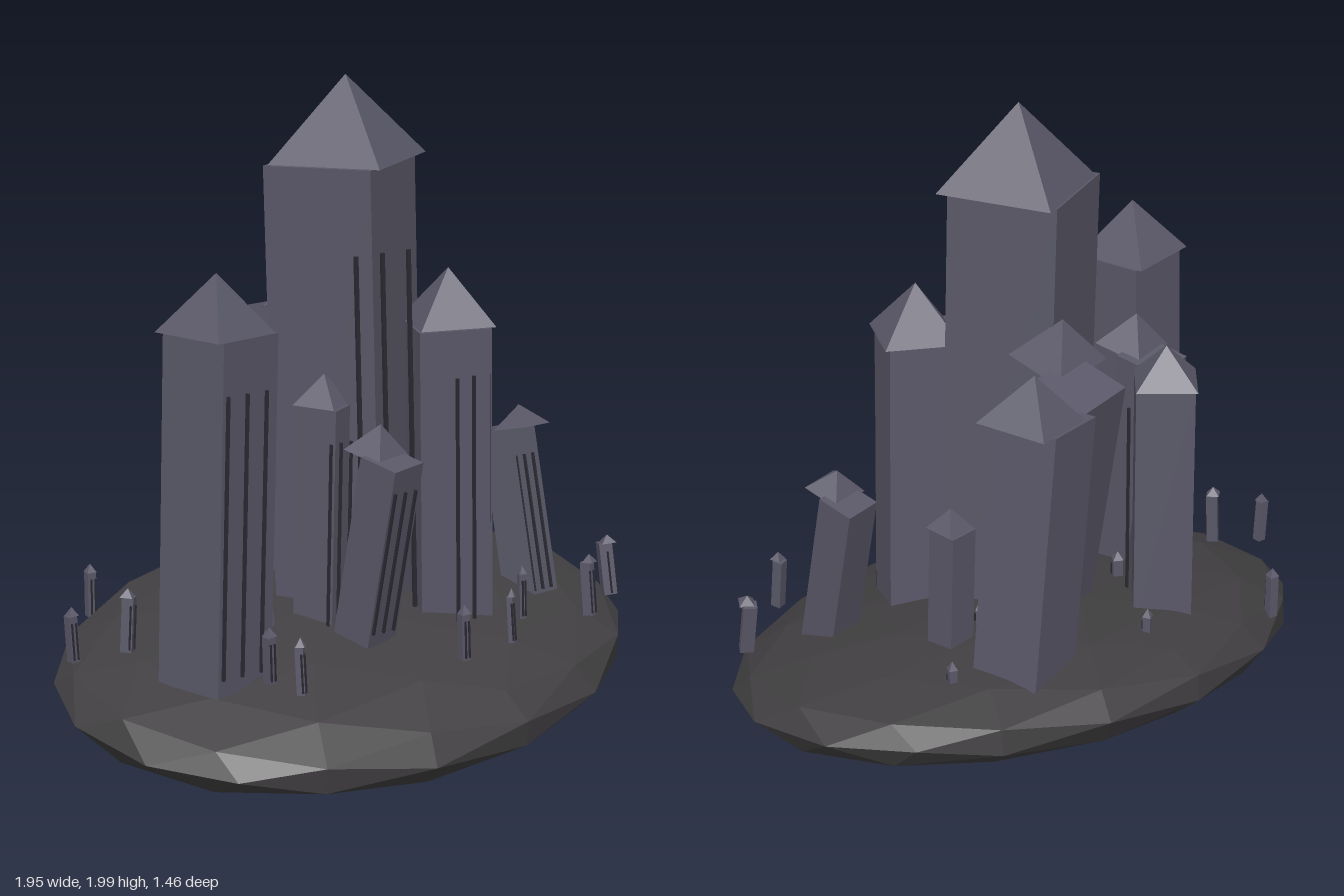
import * as THREE from 'three';

const mat = (name, color) => {
  const m = new THREE.MeshStandardMaterial({ color, flatShading: true });
  m.name = name;
  return m;
};

export function createModel() {
  const stone = mat('slate stone', 0x5a5868);
  const rockMat = mat('dark rock', 0x413f41);
  const dark = mat('window shadow', 0x2b2a33);
  const root = new THREE.Group();
  root.name = 'rockCitadel';

  const add = (parent, name, geo, material, pos, rot) => {
    const m = new THREE.Mesh(geo, material);
    m.name = name;
    m.position.set(...pos);
    m.rotation.set(...rot, 'XZY'); // spin first, then lean
    parent.add(m);
    return m;
  };

  // four sided spire whose corners line up with a box
  const spire = (r, h) => new THREE.ConeGeometry(r, h, 4).rotateY(Math.PI / 4);

  // floating rock, a flattened tilted ball
  const rock = new THREE.Mesh(new THREE.IcosahedronGeometry(1, 2).scale(0.985, 0.197, 0.75), rockMat);
  rock.name = 'floatingRock';
  rock.position.set(0, 0.245, 0);
  rock.rotation.set(0.146, 0.134, 0.06);
  root.add(rock);

  // [name, x, z, base, eaves, apex, width, lean x, spin in degrees, lean z]
  const towers = [
    ['mainTower', 0, 0, 0.03, 1.75, 2.0, 0.34, 0, 28, 0.03],
    ['westTower', -0.605, 0.17, 0.3, 1.33, 1.5, 0.23, 0.01, 12, -0.025],
    ['frontEastTower', 0.22, 0.21, 0.32, 1.265, 1.43, 0.22, 0.02, -25, 0.035],
    ['backEastTower', 0.3, -0.43, 0.35, 1.24, 1.38, 0.215, 0, 18, 0.09],
    ['leaningBackTower', 0.03, -0.23, 0.28, 1.28, 1.42, 0.195, -0.27, 10, -0.09],
    ['backWestTower', -0.27, -0.36, 0.36, 1.17, 1.285, 0.175, 0.01, 50, 0],
    ['innerWestTower', -0.43, -0.04, 0.3, 1.13, 1.24, 0.155, -0.2, 16, 0],
    ['frontTurret', -0.145, 0.33, 0.37, 0.94, 1.03, 0.13, 0.22, 12, 0],
    ['innerTurret', -0.165, 0.1, 0.35, 1.05, 1.14, 0.13, 0.03, 25, 0],
    ['eastTurret', 0.57, 0.15, 0.35, 0.88, 0.95, 0.12, -0.24, 12, -0.01],
    ['backEastTurret', 0.41, -0.19, 0.38, 0.84, 0.905, 0.095, -0.04, 8, 0],
  ];
  for (const [name, x, z, base, eaves, apex, w, rx, deg, rz] of towers) {
    const g = new THREE.Group();
    g.name = name;
    const rot = [rx, THREE.MathUtils.degToRad(deg), rz];
    const h = eaves - base;
    add(g, 'towerBody', new THREE.BoxGeometry(w, h, w), stone, [x, base + h / 2, z], rot);
    add(g, 'towerRoof', spire(w * 0.74, apex - eaves), stone, [x, (eaves + apex) / 2, z], rot);
    // narrow window slits along the front
    for (const i of [-1, 0, 1]) {
      const t = Math.max(0.006, w * 0.035);
      add(g, 'windowSlit', new THREE.BoxGeometry(t, h * 0.8, 0.009), dark,
        [x + i * w * 0.29 - w * 0.05, base + h * 0.455, z + w * 0.63], [rx, 0, rz]);
    }
    root.add(g);
  }

  // little marker pillars scattered round the rim: [x, z, base, lean x, lean z, width]
  const pillars = [
    [-0.9, -0.15, 0.34, 0, 0.06, 0.028], [-0.75, -0.08, 0.36, 0, -0.06, 0.035],
    [-0.59, -0.52, 0.33, 0, 0, 0.028], [-0.09, -0.5, 0.36, 0, 0, 0.024],
    [0.55, -0.37, 0.36, 0, 0, 0.024], [0.22, -0.21, 0.38, 0, 0, 0.03],
    [-0.27, -0.16, 0.35, 0, 0, 0.03], [-0.13, -0.16, 0.35, 0, 0, 0.024],
    [0.28, -0.16, 0.37, 0, 0, 0.022], [-0.59, 0.39, 0.35, 0.03, 0.05, 0.028],
    [-0.58, 0.52, 0.35, -0.08, 0, 0.024], [-0.02, 0.57, 0.35, 0, 0.04, 0.027],
    [0.2, 0.53, 0.35, -0.1, 0, 0.018], [0.34, 0.42, 0.37, 0, 0.04, 0.02],
    [0.57, 0.47, 0.35, -0.12, 0, 0.032], [0.79, 0.32, 0.34, -0.16, 0.02, 0.042],
  ];
  pillars.forEach(([x, z, y, rx, rz, w], i) => {
    const g = new THREE.Group();
    g.name = 'smallPillar';
    const rot = [rx, i * 0.7, rz];
    const h = w > 0.03 ? 0.165 : 0.14;
    add(g, 'pillarBody', new THREE.BoxGeometry(w, h, w), stone, [x, y + h / 2, z], rot);
    add(g, 'pillarCap', spire(w * 0.78, 0.026), stone, [x, y + h + 0.013, z], rot);
    for (const s of [-0.25, 0.25])
      add(g, 'pillarSlit', new THREE.BoxGeometry(0.004, h * 0.8, 0.005), dark,
        [x + s * w, y + h * 0.46, z + w * 0.62], [rx, 0, rz]);
    root.add(g);
  });

  return root;
}
